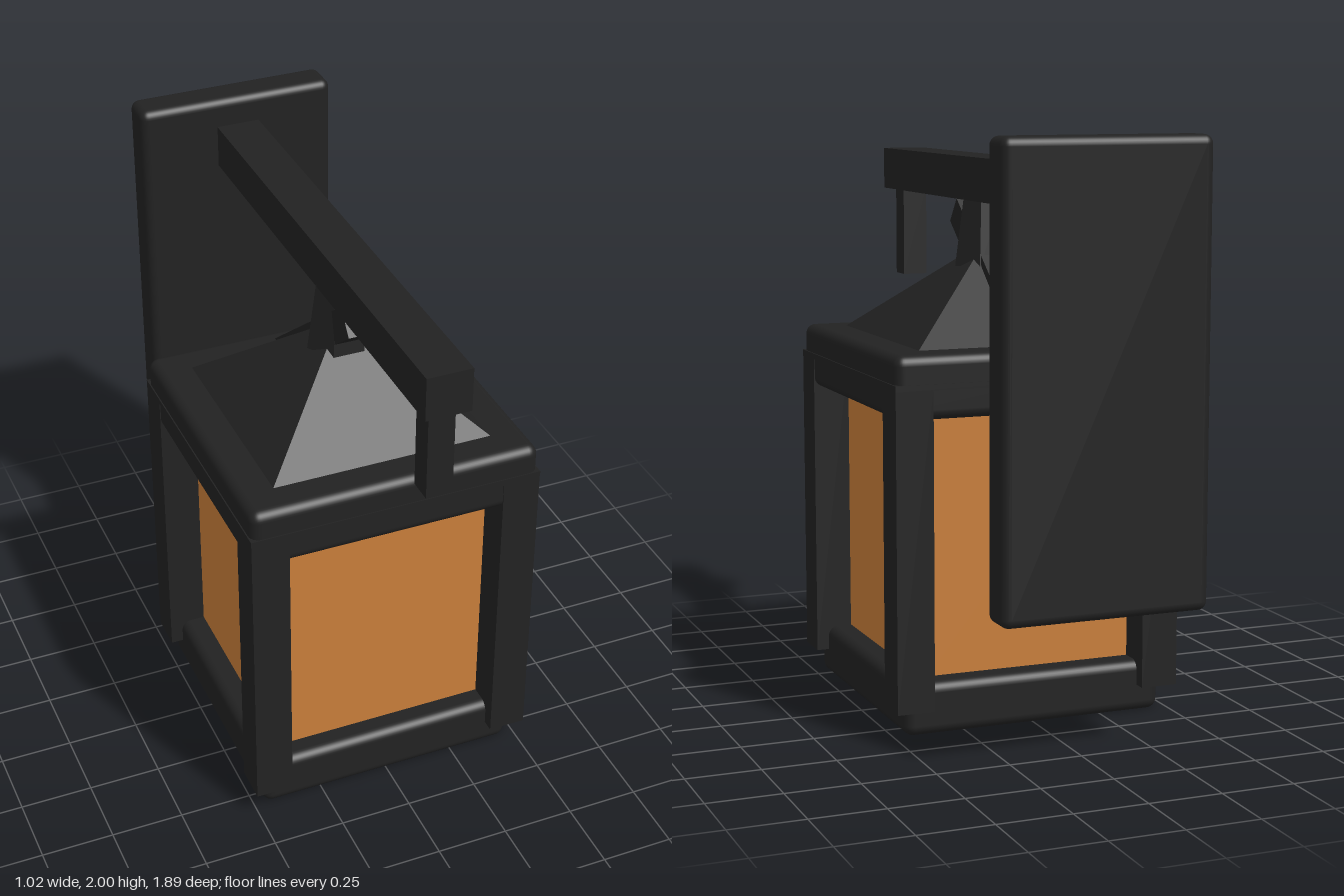
import * as THREE from 'three';
import { RoundedBoxGeometry } from 'three/addons/geometries/RoundedBoxGeometry.js';

const iron = new THREE.MeshStandardMaterial({ color: 0x222222 });
iron.name = 'blackIron';
const amber = new THREE.MeshStandardMaterial({ color: 0xc97e3a });
amber.name = 'amberGlass';

export function createModel() {
  const model = new THREE.Group();
  model.name = 'wallLantern';
  const lantern = new THREE.Group();
  lantern.name = 'lantern';
  lantern.position.z = 0.1;
  model.add(lantern);

  const add = (parent, name, geometry, x, y, z, material = iron) => {
    const mesh = new THREE.Mesh(geometry, material);
    mesh.name = name;
    mesh.position.set(x, y, z);
    parent.add(mesh);
    return mesh;
  };
  // Boxes given by their extents; r rounds the edges
  const box = (parent, name, [x0, x1], [y0, y1], [z0, z1], r = 0, material = iron) => {
    const size = [x1 - x0, y1 - y0, z1 - z0];
    const geometry = r ? new RoundedBoxGeometry(...size, 4, r) : new THREE.BoxGeometry(...size);
    return add(parent, name, geometry, (x0 + x1) / 2, (y0 + y1) / 2, (z0 + z1) / 2, material);
  };
  const span = (h) => [-h, h];

  // Lantern body
  box(lantern, 'base', span(0.465), [0, 0.18], span(0.465), 0.035);
  box(lantern, 'glass', span(0.38), [0.15, 1.1], span(0.38), 0, amber);
  box(lantern, 'cap', span(0.506), [1.07, 1.285], span(0.506), 0.035);
  box(lantern, 'capLip', span(0.51), [1.17, 1.19], span(0.51));
  for (const sx of [-1, 1]) {
    for (const sz of [-1, 1]) {
      add(lantern, 'cornerPost', new THREE.BoxGeometry(0.13, 1.08, 0.13), sx * 0.444, 0.635, sz * 0.444);
    }
  }

  // Four-sided roof and six-sided neck
  const roof = new THREE.ConeGeometry(0.39 * Math.SQRT2, 0.325, 4, 1).toNonIndexed();
  roof.rotateY(Math.PI / 4);
  roof.computeVertexNormals();
  add(lantern, 'roof', roof, 0, 1.4425, 0);
  const neck = new THREE.CylinderGeometry(0.078, 0.11, 0.235, 6).toNonIndexed();
  neck.rotateY(Math.PI / 6);
  neck.computeVertexNormals();
  add(lantern, 'neck', neck, 0, 1.64, 0);

  // Wall bracket
  box(model, 'wallPlate', span(0.354), [0.495, 2], [-0.945, -0.81], 0.03);
  box(model, 'arm', span(0.077), [1.75, 1.9], [-0.83, 0.945]);
  box(model, 'armDrop', span(0.045), [1.43, 1.755], [0.815, 0.9]);

  // Diagonal brace
  const top = new THREE.Vector2(0.275, 1.705);
  const foot = new THREE.Vector2(-0.778, 0.885);
  const brace = add(model, 'brace', new THREE.BoxGeometry(0.1, 0.105, top.distanceTo(foot)),
    0, (top.y + foot.y) / 2, (top.x + foot.x) / 2);
  brace.rotation.x = -Math.atan2(top.y - foot.y, top.x - foot.x);

  return model;
}
